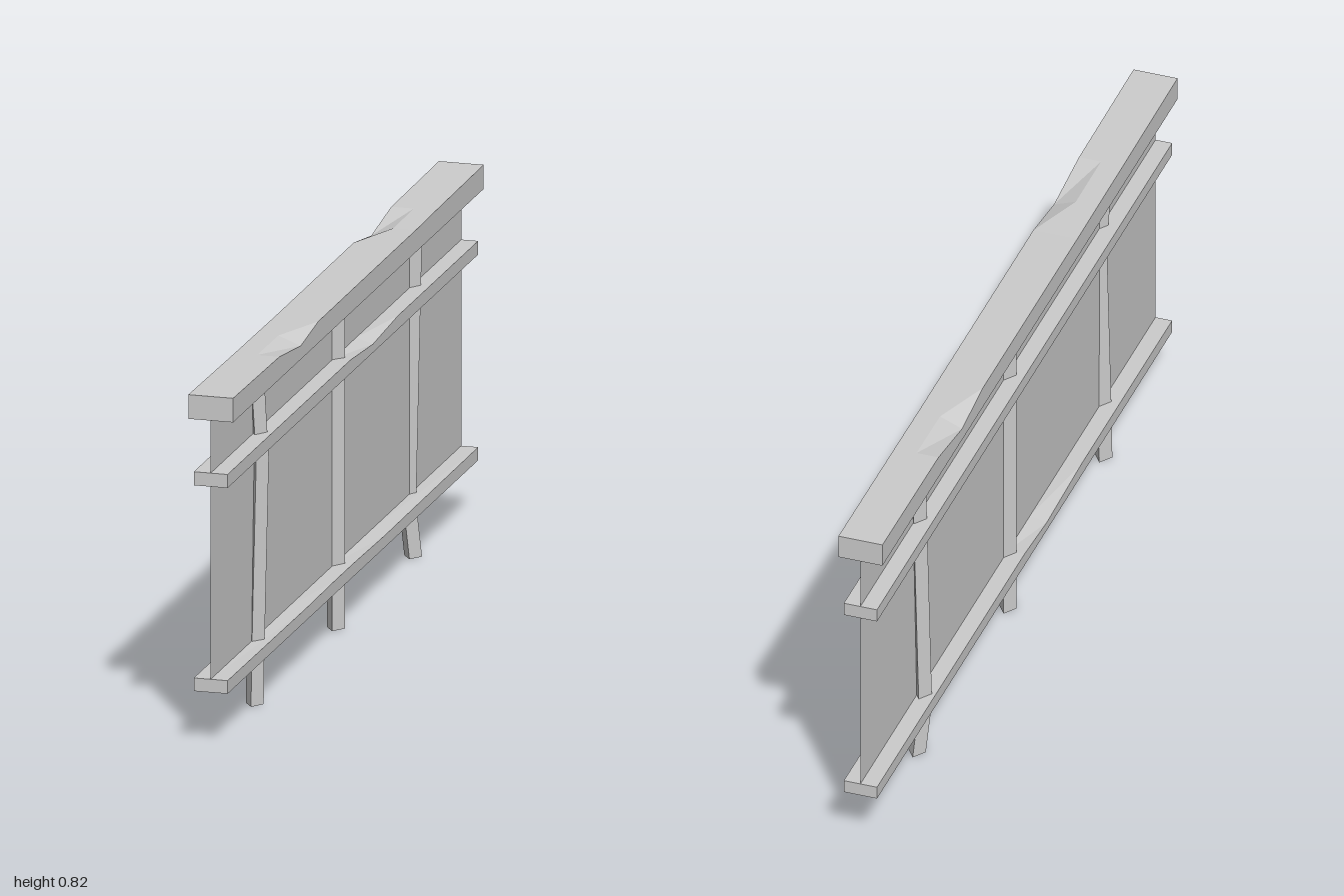
import * as THREE from 'three';

const grey = new THREE.MeshStandardMaterial({ color: 0xcccccc });
grey.name = 'grey';
grey.flatShading = true;
grey.side = THREE.DoubleSide;

// Skins a row of rings, each counter-clockwise seen from the far end of the row.
function loft(rings, capped) {
  const pos = [];
  const tri = (a, b, c) => pos.push(...a, ...b, ...c);
  for (let k = 0; k < rings.length - 1; k++) {
    const a = rings[k], b = rings[k + 1];
    a.forEach((p, i) => {
      const j = (i + 1) % a.length;
      tri(p, a[j], b[j]);
      tri(p, b[j], b[i]);
    });
  }
  if (capped) {
    const s = rings[0], e = rings[rings.length - 1];
    for (let i = 1; i < s.length - 1; i++) {
      tri(s[0], s[i + 1], s[i]);
      tri(e[0], e[i], e[i + 1]);
    }
  }
  const g = new THREE.BufferGeometry();
  g.setAttribute('position', new THREE.Float32BufferAttribute(pos, 3));
  g.computeVertexNormals();
  return g;
}

// Beam along z; stations are [z, drop of the -x top edge, drop of the +x top edge].
function beam(halfWidth, bottom, top, stations) {
  return loft(stations.map(([z, dropR, dropL, sag = 0]) => [
    [halfWidth, bottom, z],
    [halfWidth, top - sag - dropL, z],
    [0, top - sag, z],
    [-halfWidth, top - sag - dropR, z],
    [-halfWidth, bottom, z],
  ]), true);
}

// Diamond-section post through centres [x, y, z].
function post(centres) {
  const w = 0.021, d = 0.03;
  return loft(centres.map(([x, y, z]) => [
    [x + w, y, z], [x, y, z - d], [x - w, y, z], [x, y, z + d],
  ]), false);
}

export function createModel() {
  const group = new THREE.Group();
  const add = (name, geometry) => {
    const mesh = new THREE.Mesh(geometry, grey);
    mesh.name = name;
    group.add(mesh);
    return mesh;
  };

  // Thin infill panel
  const panel = add('panel', new THREE.PlaneGeometry(2, 0.66));
  panel.rotation.y = Math.PI / 2;
  panel.position.y = 0.46;

  // Worn top rail with a chipped dent on each edge
  add('topRail', beam(0.053, 0.765, 0.822, [
    [-1, 0, 0], [-0.62, 0, 0, 0.003], [-0.46, 0.022, 0, 0.005], [-0.32, 0, 0, 0.005],
    [0.32, 0, 0, 0.006], [0.46, 0, 0.02, 0.005], [0.63, 0, 0, 0.004], [1, 0, 0],
  ]));

  // Narrow rails
  add('middleRail', beam(0.04, 0.609, 0.641, [
    [-1, 0, 0], [-0.36, 0, 0], [-0.16, 0, 0.012], [0.02, 0, 0], [1, 0, 0],
  ]));
  add('bottomRail', beam(0.04, 0.123, 0.154, [
    [-1, 0, 0], [-0.25, 0, 0.003], [0, 0, 0], [0.15, 0.01, 0], [0.38, 0, 0.002], [1, 0, 0],
  ]));

  // Slightly crooked posts
  add('frontPost', post([
    [0, 0, 0.648], [0.001, 0.12, 0.646], [0.009, 0.58, 0.637], [0, 0.78, 0.646],
  ]));
  add('middlePost', post([[0, 0, 0], [0, 0.78, 0]]));
  add('backPost', post([
    [0, 0, -0.616], [-0.01, 0.13, -0.602], [-0.003, 0.6, -0.614], [0, 0.78, -0.618],
  ]));

  return group;
}
